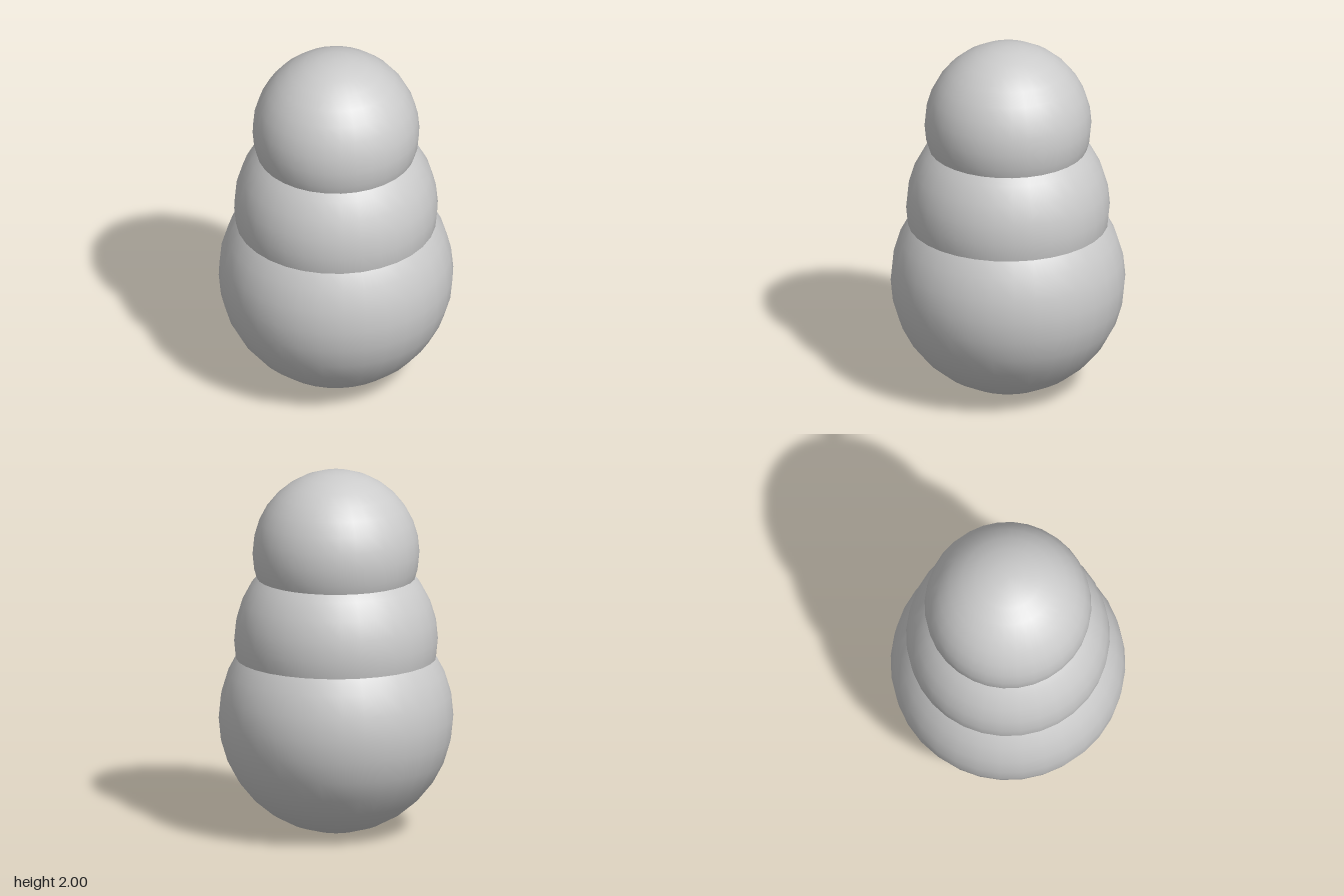
import * as THREE from 'three';

// Three overlapping balls stacked along y: name, radius, centre height
const BALLS = [
  ['base', 0.637, 0.637],
  ['torso', 0.553, 1.064],
  ['head', 0.453, 1.547],
];

export function createModel() {
  const model = new THREE.Group();
  model.name = 'snowman';
  const material = new THREE.MeshStandardMaterial({ color: 0xcccccc });

  for (const [name, radius, y] of BALLS) {
    const ball = new THREE.Mesh(new THREE.SphereGeometry(radius, 32, 16), material);
    ball.name = name;
    ball.position.y = y;
    model.add(ball);
  }
  return model;
}
